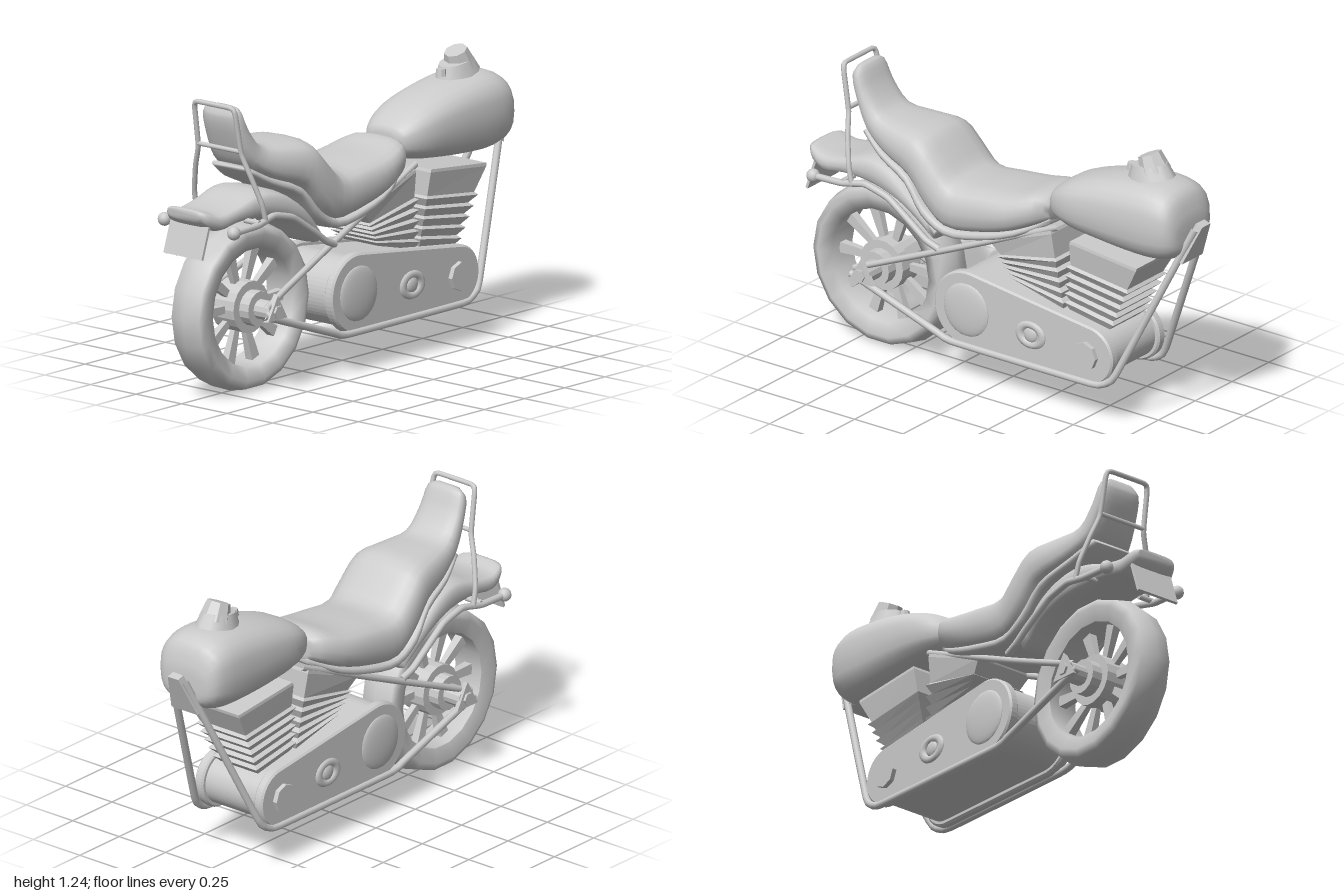
import * as THREE from 'three';

const V = (x, y, z) => new THREE.Vector3(x, y, z);
const smooth = new THREE.MeshStandardMaterial({ color: 0xcccccc });
const flat = new THREE.MeshStandardMaterial({ color: 0xcccccc, flatShading: true });

// Closed skin over a list of rings (rings run +x to +y while travelling toward -z)
function skin(rings) {
  const n = rings[0].length, pos = [], idx = [];
  rings.forEach(r => r.forEach(p => pos.push(p.x, p.y, p.z)));
  for (let i = 0; i < rings.length - 1; i++) {
    for (let j = 0; j < n; j++) {
      const a = i * n + j, b = i * n + (j + 1) % n;
      idx.push(a, a + n, b, b, a + n, b + n);
    }
  }
  const last = (rings.length - 1) * n;
  for (let j = 1; j < n - 1; j++) idx.push(0, j, j + 1, last, last + j + 1, last + j);
  const g = new THREE.BufferGeometry();
  g.setAttribute('position', new THREE.Float32BufferAttribute(pos, 3));
  g.setIndex(idx);
  g.computeVertexNormals();
  return g;
}

// Loft of rounded sections; each station is [topZ, topY, bottomZ, bottomY, halfWidth]
function loft(stations, power, steps = 3, sides = 20) {
  const top = new THREE.CatmullRomCurve3(stations.map(s => V(s[4], s[1], s[0])));
  const bottom = new THREE.CatmullRomCurve3(stations.map(s => V(0, s[3], s[2])));
  const bend = v => Math.sign(v) * Math.abs(v) ** power;
  const rings = [], count = (stations.length - 1) * steps;
  for (let i = 0; i <= count; i++) {
    const t = top.getPoint(i / count), b = bottom.getPoint(i / count);
    const ring = [];
    for (let j = 0; j < sides; j++) {
      const a = j / sides * Math.PI * 2, k = (bend(Math.sin(a)) + 1) / 2;
      ring.push(V(t.x * bend(Math.cos(a)), b.y + (t.y - b.y) * k, b.z + (t.z - b.z) * k));
    }
    rings.push(ring);
  }
  return skin(rings);
}

// Tapered block between two side-view edges [frontZ, frontY, rearZ, rearY]; levels are [height, scale]
function block(low, high, w0, w1, levels) {
  return skin(levels.map(([t, s]) => {
    const [az, ay, bz, by] = low.map((v, i) => v + (high[i] - v) * t);
    const w = (w0 + (w1 - w0) * t) * s, cz = (az + bz) / 2, cy = (ay + by) / 2;
    const hz = (az - bz) / 2 * s, hy = (ay - by) / 2 * s;
    return [V(w, cy + hy, cz + hz), V(w, cy - hy, cz - hz), V(-w, cy - hy, cz - hz), V(-w, cy + hy, cz + hz)];
  }));
}

function tube(points, radius, steps = 40) {
  const curve = new THREE.CatmullRomCurve3(points.map(p => V(...p)), false, 'catmullrom', 0.2);
  return new THREE.TubeGeometry(curve, steps, radius, 8);
}

// Pulley-like outline around two discs, extruded across x
function caseGeometry(inset, width) {
  const z0 = 0.105, y0 = 0.34, r0 = 0.16 - inset, z1 = -0.52, y1 = 0.3, r1 = 0.12 - inset;
  const dz = z0 - z1, slope = Math.atan2(y1 - y0, dz);
  const off = Math.acos((r0 - r1) / Math.hypot(dz, y1 - y0));
  const s = new THREE.Shape();
  s.absarc(-z0, y0, r0, slope + off, slope - off + Math.PI * 2, false);
  s.absarc(-z1, y1, r1, slope - off, slope + off, false);
  const g = new THREE.ExtrudeGeometry(s, {
    depth: width - 0.016, curveSegments: 14, bevelSize: 0.008, bevelThickness: 0.008, bevelSegments: 1
  });
  return g.translate(0, 0, 0.008 - width / 2).rotateY(Math.PI / 2);
}

const axial = (r0, r1, length, sides) =>
  new THREE.CylinderGeometry(r0, r1, length, sides).rotateZ(-Math.PI / 2);

export function createModel() {
  const model = new THREE.Group();
  const add = (name, geometry, material = smooth, x = 0, y = 0, z = 0, parent = model) => {
    const mesh = new THREE.Mesh(geometry, material);
    mesh.name = name;
    mesh.position.set(x, y, z);
    parent.add(mesh);
    return mesh;
  };

  // Rear wheel
  const wheel = new THREE.Group();
  wheel.name = 'rearWheel';
  wheel.position.set(0, 0.36, 0.635);
  model.add(wheel);
  const tire = [[0.25, -0.07], [0.31, -0.09], [0.342, -0.075], [0.358, 0], [0.342, 0.075], [0.31, 0.09], [0.25, 0.07], [0.25, -0.07]];
  add('tire', new THREE.LatheGeometry(tire.map(p => new THREE.Vector2(...p)), 18).rotateZ(-Math.PI / 2), smooth, 0, 0, 0, wheel);
  for (let i = 0; i < 10; i++) {
    const spoke = new THREE.CylinderGeometry(0.034, 0.02, 0.18, 4, 1).rotateY(Math.PI / 4).scale(0.8, 1, 1).translate(0, 0.175, 0);
    add('spoke', spoke, flat, 0, 0, 0, wheel).rotation.x = (i + 0.5) * Math.PI / 5;
  }
  add('hub', axial(0.11, 0.11, 0.12, 18), flat, 0, 0, 0, wheel);
  add('hubDrum', axial(0.075, 0.075, 0.22, 16), flat, 0, 0, 0, wheel);
  add('axle', axial(0.042, 0.042, 0.39, 12), flat, 0, 0, 0, wheel);

  // Rear fender and plate
  add('rearFender', loft([
    [0.985, 0.825, 0.98, 0.785, 0.09], [0.965, 0.83, 0.95, 0.755, 0.115], [0.9, 0.81, 0.89, 0.73, 0.13],
    [0.79, 0.825, 0.79, 0.745, 0.135], [0.65, 0.865, 0.66, 0.74, 0.145], [0.52, 0.84, 0.54, 0.72, 0.16],
    [0.4, 0.76, 0.42, 0.67, 0.165], [0.29, 0.64, 0.31, 0.58, 0.15]], 0.6));
  add('rearPlate', new THREE.BoxGeometry(0.21, 0.14, 0.012), flat, 0, 0.695, 0.967).rotation.x = -0.32;

  // Seat with raised pillion and backrest
  add('seat', loft([
    [0.755, 1.232, 0.765, 1.215, 0.06], [0.725, 1.225, 0.775, 1.18, 0.095], [0.685, 1.14, 0.745, 1.08, 0.11],
    [0.61, 1.053, 0.69, 0.97, 0.125], [0.49, 1.043, 0.58, 0.89, 0.16], [0.36, 1.03, 0.43, 0.83, 0.195],
    [0.28, 0.955, 0.33, 0.72, 0.205], [0.2, 0.88, 0.23, 0.65, 0.205], [0.05, 0.885, 0.06, 0.67, 0.205],
    [-0.1, 0.9, -0.1, 0.72, 0.2], [-0.21, 0.925, -0.21, 0.77, 0.165], [-0.265, 0.91, -0.265, 0.8, 0.11]], 0.7));
  add('seatBase', loft([
    [0.69, 0.97, 0.705, 0.95, 0.1], [0.58, 0.91, 0.59, 0.875, 0.14], [0.43, 0.85, 0.44, 0.805, 0.17],
    [0.33, 0.74, 0.345, 0.69, 0.185], [0.22, 0.68, 0.23, 0.632, 0.185], [0.06, 0.7, 0.06, 0.653, 0.185],
    [-0.12, 0.75, -0.12, 0.71, 0.165], [-0.26, 0.82, -0.26, 0.785, 0.1]], 0.5));

  // Fuel tank
  add('fuelTank', loft([
    [-0.257, 0.925, -0.257, 0.865, 0.07], [-0.27, 0.955, -0.275, 0.83, 0.11], [-0.36, 1.015, -0.37, 0.8, 0.155],
    [-0.5, 1.062, -0.5, 0.782, 0.172], [-0.66, 1.092, -0.66, 0.768, 0.178], [-0.81, 1.1, -0.8, 0.767, 0.176],
    [-0.89, 1.07, -0.88, 0.785, 0.16], [-0.922, 0.99, -0.92, 0.82, 0.12], [-0.928, 0.94, -0.928, 0.87, 0.06]], 0.75, 3, 24));
  add('gaugeBase', new THREE.CylinderGeometry(0.06, 0.08, 0.06, 12).scale(1, 1, 1.4), smooth, 0, 1.12, -0.71).rotation.x = 0.18;
  add('gauge', new THREE.CylinderGeometry(0.05, 0.068, 0.08, 8), flat, 0, 1.155, -0.72).rotation.x = 0.4;
  add('ignitionKnob', new THREE.CylinderGeometry(0.02, 0.024, 0.03, 8), flat, 0, 1.115, -0.615);

  // Engine: finned cylinders and crankcase
  const fins = [];
  for (let i = 0; i < 5; i++) fins.push([i * 0.13, 0.9], [i * 0.13 + 0.1, 1.05]);
  fins.push([0.65, 0.95], [0.96, 1], [1, 0.98]);
  add('rearCylinder', block([-0.345, 0.43, -0.1, 0.49], [-0.3, 0.785, 0.02, 0.66], 0.11, 0.14, fins), flat);
  add('frontCylinder', block([-0.585, 0.4, -0.355, 0.44], [-0.745, 0.73, -0.395, 0.765], 0.11, 0.14, fins), flat);
  add('crankcase', caseGeometry(0.02, 0.3), flat);

  for (const s of [1, -1]) {
    // Side covers and their bosses
    add('engineCover', caseGeometry(0, 0.045), flat, s * 0.16);
    add('clutchDome', new THREE.SphereGeometry(0.118, 20, 12).scale(0.16, 1, 1), smooth, s * 0.18, 0.34, 0.105);
    add('ovalRim', new THREE.TorusGeometry(0.05, 0.02, 8, 20).rotateY(Math.PI / 2).scale(0.8, 0.9, 1.15), smooth, s * 0.178, 0.315, -0.228);
    add('ovalBoss', new THREE.SphereGeometry(0.035, 12, 8).scale(0.4, 1, 1), smooth, s * 0.18, 0.315, -0.228);
    add('timingCap', axial(0.062, 0.062, 0.03, 8), flat, s * 0.188, 0.3, -0.515);

    // Frame rails meeting at the steering neck
    add('upperFrameTube', tube([[s * 0.185, 0.38, 0.68], [s * 0.165, 0.44, 0.53], [s * 0.145, 0.56, 0.24], [s * 0.12, 0.8, -0.32]], 0.014));
    add('lowerFrameTube', tube([
      [s * 0.185, 0.35, 0.7], [s * 0.185, 0.325, 0.62], [s * 0.18, 0.2, 0.26], [s * 0.18, 0.178, 0.17],
      [s * 0.18, 0.178, -0.54], [s * 0.175, 0.195, -0.61], [s * 0.168, 0.25, -0.66], [s * 0.035, 0.93, -0.965]], 0.016, 60));

    // Axle plate: rounded triangle
    add('axlePlate', axial(0.068, 0.075, 0.022, 3).rotateX(Math.PI / 2 * 3), flat, s * 0.196, 0.363, 0.635);
    add('axleNut', axial(0.028, 0.028, 0.022, 6), flat, s * 0.206, 0.363, 0.635);

    // Fender rail with turn signal
    add('fenderRail', tube([
      [s * 0.19, 0.74, 0.87], [s * 0.19, 0.745, 0.74], [s * 0.18, 0.765, 0.63], [s * 0.18, 0.735, 0.51],
      [s * 0.185, 0.65, 0.38], [s * 0.185, 0.6, 0.31], [s * 0.18, 0.575, 0.25]], 0.015));
    add('turnSignal', new THREE.SphereGeometry(0.029, 12, 8), smooth, s * 0.19, 0.74, 0.89);
    add('signalBracket', axial(0.012, 0.012, 0.08, 8), smooth, s * 0.155, 0.755, 0.735);

    // Tank studs
    for (const z of [-0.73, -0.8]) {
      add('tankStud', new THREE.CylinderGeometry(0.014, 0.016, 0.03, 8), flat, s * 0.1, 1.065, z).rotation.z = -s * 0.4;
    }
  }
  add('steeringNeck', block([-0.925, 0.775, -0.885, 0.79], [-0.998, 0.945, -0.965, 0.955], 0.07, 0.028, [[0, 1], [1, 1]]), flat);

  // Backrest hoop with crossbar
  const side = [[0.19, 0.75, 0.69], [0.185, 0.83, 0.71], [0.15, 0.95, 0.742], [0.118, 1.04, 0.762], [0.112, 1.2, 0.79], [0.106, 1.23, 0.796], [0.085, 1.238, 0.799]];
  add('backrestHoop', tube([...side, ...side.map(([x, y, z]) => [-x, y, z]).reverse()], 0.011, 80));
  add('backrestCrossbar', axial(0.01, 0.01, 0.23, 8), smooth, 0, 1.05, 0.765);

  return model;
}
